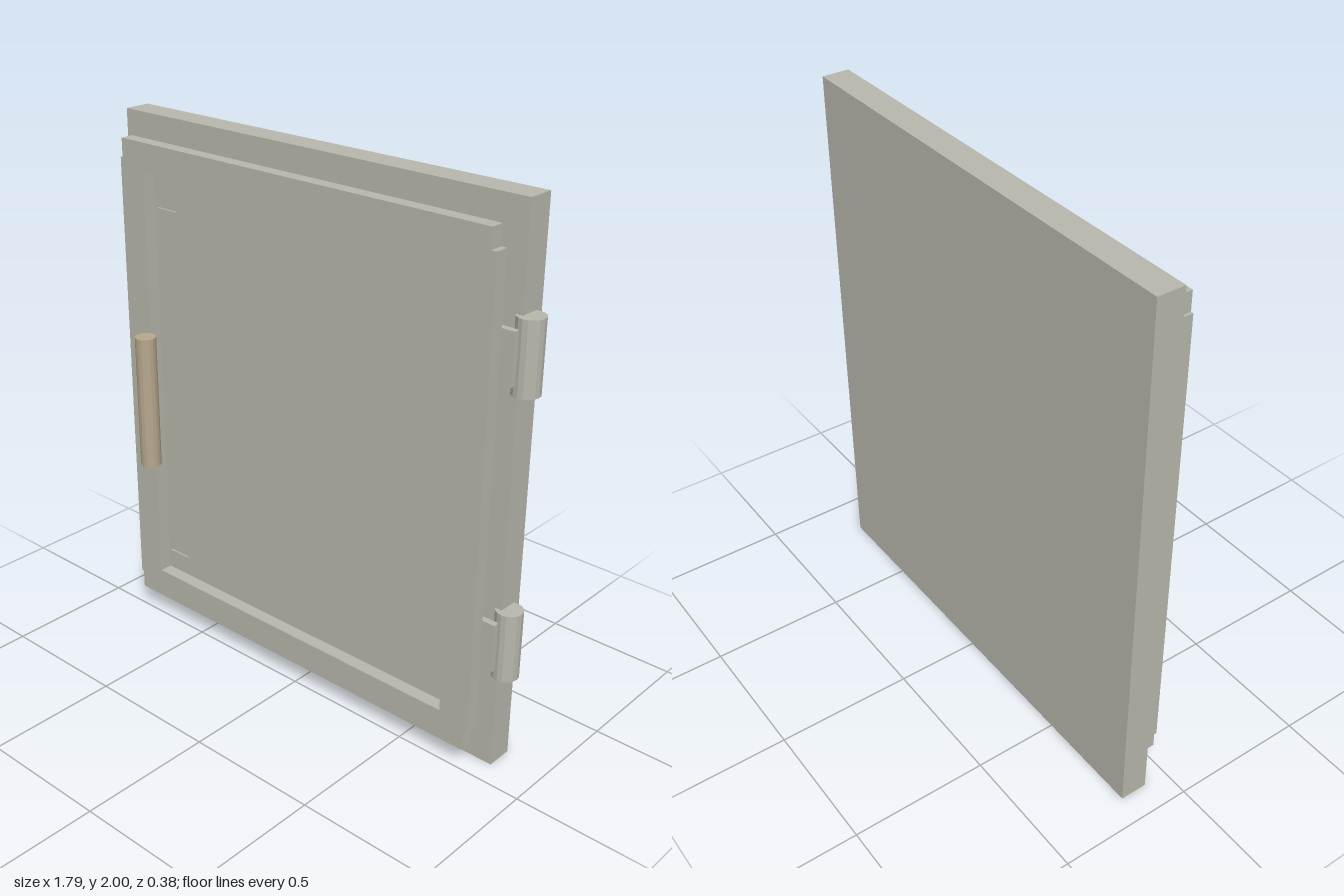
import * as THREE from 'three';

const material = (name, color) => {
  const m = new THREE.MeshStandardMaterial({ color, flatShading: true });
  m.name = name;
  return m;
};

export function createModel() {
  const group = new THREE.Group();
  group.name = 'cabinetDoor';
  const grey = material('warmGrey', 0xb8b8ad);
  const brown = material('gasketBrown', 0xa68a70);
  const tan = material('handleTan', 0xb8a88e);

  const add = (name, geometry, mat) => {
    const mesh = new THREE.Mesh(geometry, mat);
    mesh.name = name;
    group.add(mesh);
    return mesh;
  };
  // Box given by its limits on each axis
  const box = (name, mat, [x0, x1], [y0, y1], [z0, z1]) =>
    add(name, new THREE.BoxGeometry(x1 - x0, y1 - y0, z1 - z0), mat)
      .position.set((x0 + x1) / 2, (y0 + y1) / 2, (z0 + z1) / 2);
  // Upright faceted cylinder
  const rod = (name, mat, r, x, z, [y0, y1], sides) =>
    add(name, new THREE.CylinderGeometry(r, r, y1 - y0, sides), mat)
      .position.set(x, (y0 + y1) / 2, z);

  // Wall plate, gasket and inset panel, from back to front
  box('backPlate', grey, [-0.9, 0.83], [0, 2], [-0.19, -0.09]);
  box('gasket', brown, [-0.805, 0.735], [0.11, 1.895], [-0.09, -0.07]);
  box('doorPanel', grey, [-0.755, 0.69], [0.165, 1.84], [-0.07, -0.05]);

  // Door frame with stepped corners and a rectangular opening
  const outline = [
    [-0.832, 0.08], [0.765, 0.08], [0.765, 0.15], [0.785, 0.15],
    [0.785, 1.85], [0.765, 1.85], [0.765, 1.92], [-0.832, 1.92],
    [-0.832, 1.85], [-0.842, 1.85], [-0.842, 0.15], [-0.832, 0.15],
  ];
  const opening = [[-0.725, 0.195], [-0.725, 1.81], [0.667, 1.81], [0.667, 0.195]];
  const toPoints = (list) => list.map(([x, y]) => new THREE.Vector2(x, y));
  const shape = new THREE.Shape(toPoints(outline));
  shape.holes.push(new THREE.Path(toPoints(opening)));
  add('doorFrame', new THREE.ExtrudeGeometry(shape, { depth: 0.05, bevelEnabled: false }), grey)
    .position.z = -0.05;

  // Hinges: barrel and leaf
  for (const y of [0.494, 1.514]) {
    rod('hingeBarrel', grey, 0.048, 0.845, -0.113, [y - 0.127, y + 0.127], 16);
    box('hingeLeaf', grey, [0.691, 0.835], [y - 0.09, y + 0.09], [-0.07, -0.046]);
  }

  // Handle bar and the thin mounting strips above and below it
  rod('handle', tan, 0.038, -0.58, 0.153, [0.775, 1.276], 16);
  for (const y of [0.321, 1.699])
    box('handleMount', grey, [-0.64, -0.55], [y - 0.008, y + 0.008], [0.01, 0.017]);

  return group;
}
